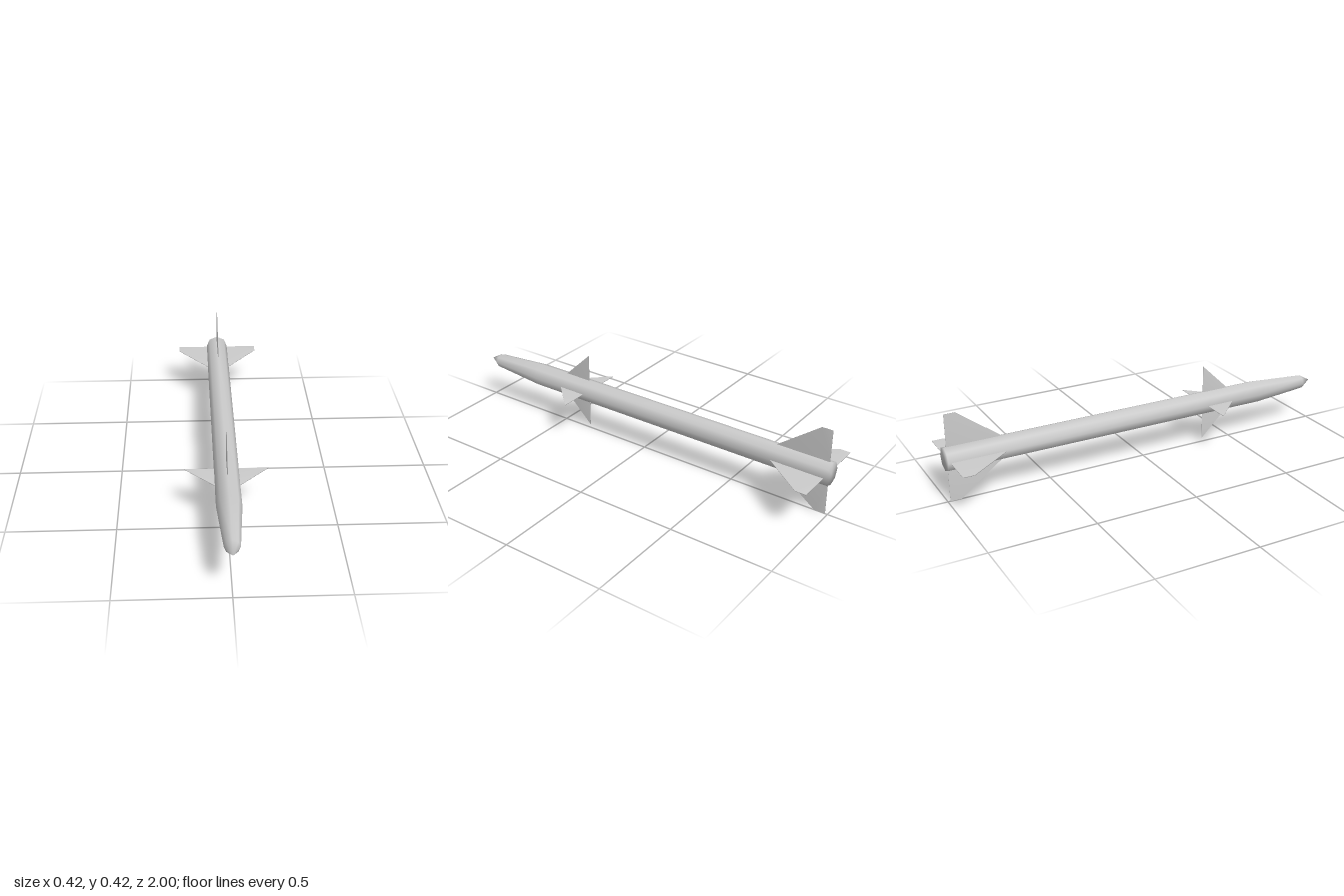
import * as THREE from 'three';
import { mergeVertices } from 'three/addons/utils/BufferGeometryUtils.js';

const AXIS_Y = 0.212; // height of the body axis
const FIN_THICKNESS = 0.003;

const material = new THREE.MeshStandardMaterial({ color: 0xcccccc });

// Weld all corners so the shading runs smoothly over every edge
function smooth(geometry) {
  geometry.deleteAttribute('normal');
  geometry.deleteAttribute('uv');
  const welded = mergeVertices(geometry, 1e-4);
  welded.computeVertexNormals();
  return welded;
}

// Four equal fins around the body; outline points are [radius, z]
function finSet(name, outline) {
  const set = new THREE.Group();
  set.name = name + 's';
  const shape = new THREE.Shape(outline.map(([r, z]) => new THREE.Vector2(r, z)));
  const geometry = new THREE.ExtrudeGeometry(shape, { depth: FIN_THICKNESS, bevelEnabled: false });
  geometry.translate(0, 0, -FIN_THICKNESS / 2);
  geometry.rotateX(Math.PI / 2);
  const fin = smooth(geometry);
  ['Left', 'Top', 'Right', 'Bottom'].forEach((side, i) => {
    const mesh = new THREE.Mesh(fin, material);
    mesh.name = name + side;
    mesh.rotation.z = i * Math.PI / 2;
    set.add(mesh);
  });
  return set;
}

export function createModel() {
  const model = new THREE.Group();
  model.name = 'missile';

  // Eight-sided body with a tapered nose and a closed tail
  const profile = [[0, -1], [0.057, -1], [0.057, 0.65], [0.035, 0.94], [0, 1]]
    .map(([r, z]) => new THREE.Vector2(r, z));
  const bodyGeometry = new THREE.LatheGeometry(profile, 8);
  bodyGeometry.rotateX(Math.PI / 2);
  const body = new THREE.Mesh(smooth(bodyGeometry), material);
  body.name = 'body';
  model.add(body);

  // Small triangular fins near the nose
  model.add(finSet('frontFin', [[0.054, 0.34], [0.192, 0.34], [0.054, 0.484]]));

  // Larger clipped fins at the tail
  model.add(finSet('tailFin', [[0.054, -0.988], [0.212, -0.988], [0.212, -0.935], [0.054, -0.725]]));

  model.children.forEach((part) => { part.position.y = AXIS_Y; });
  return model;
}
